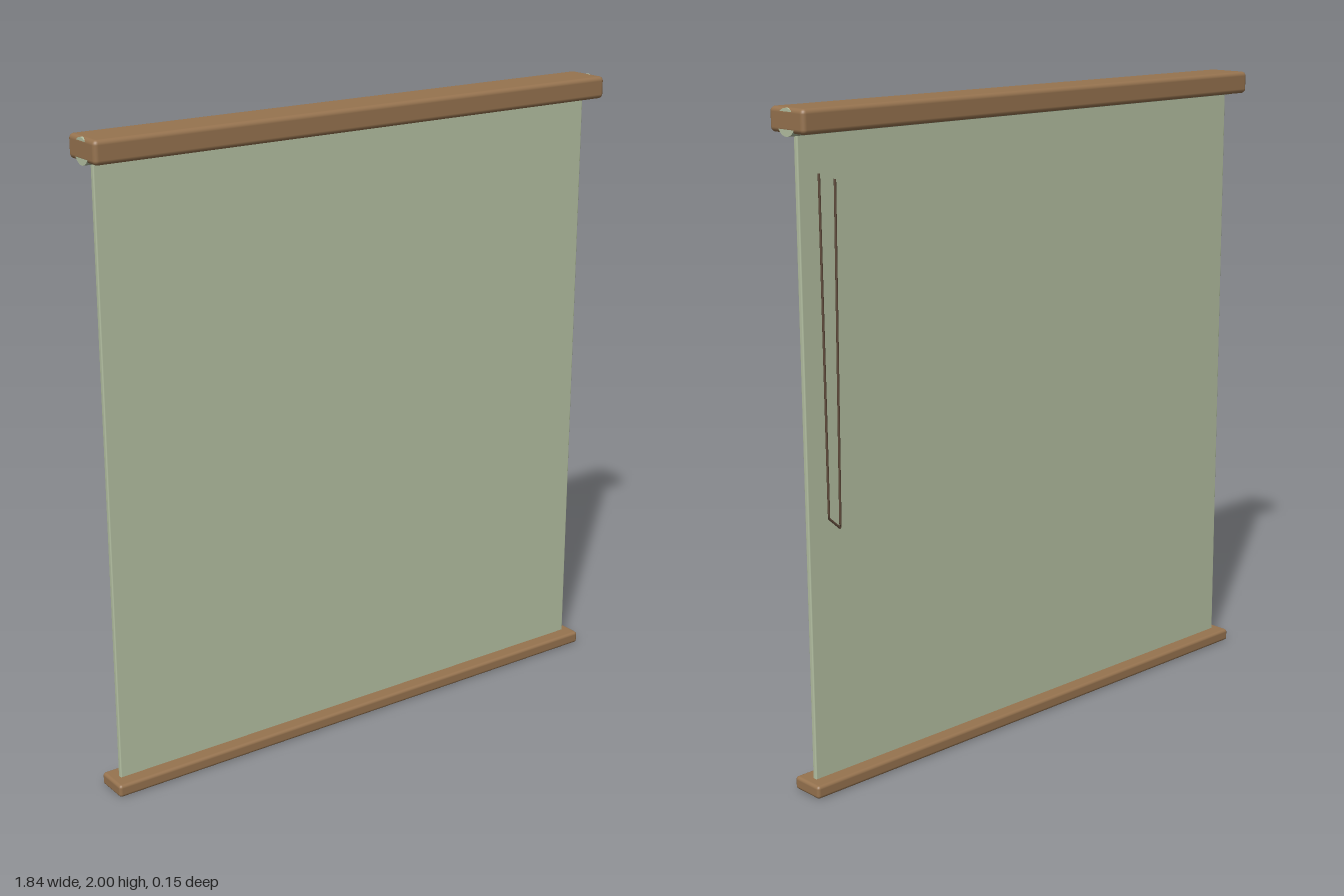
import * as THREE from 'three';
import { RoundedBoxGeometry } from 'three/addons/geometries/RoundedBoxGeometry.js';

export function createModel() {
  const blind = new THREE.Group();
  blind.name = 'rollerBlind';

  const material = (name, color) => {
    const m = new THREE.MeshStandardMaterial({ color });
    m.name = name;
    return m;
  };
  const wood = material('warm wood', 0x96734f);
  const fabric = material('sage fabric', 0xb4c0a2);
  const cordBrown = material('dark cord', 0x5f4a3a);

  const add = (name, geometry, mat, x = 0, y = 0, z = 0) => {
    const mesh = new THREE.Mesh(geometry, mat);
    mesh.name = name;
    mesh.position.set(x, y, z);
    blind.add(mesh);
    return mesh;
  };

  // Wooden rails at the top and bottom
  add('headRail', new RoundedBoxGeometry(1.84, 0.07, 0.15, 3, 0.014), wood, 0, 1.965, 0);
  add('bottomRail', new RoundedBoxGeometry(1.84, 0.04, 0.11, 3, 0.01), wood, 0, 0.02, 0);

  // Rolled fabric, just showing under the head rail and at its ends
  const roll = add('fabricRoll', new THREE.CylinderGeometry(0.039, 0.039, 1.839, 24), fabric, 0, 1.96, 0);
  roll.rotation.z = Math.PI / 2;

  // Hanging fabric panel
  add('fabricPanel', new RoundedBoxGeometry(1.78, 1.91, 0.016, 3, 0.004), fabric, 0, 0.983, 0);

  // Pull cord loop hanging behind the panel
  const points = [
    [0.84, 1.82, -0.035],
    [0.843, 0.84, -0.042],
    [0.803, 0.803, -0.042],
    [0.785, 1.8, -0.035],
  ].map((p) => new THREE.Vector3(...p));
  const path = new THREE.CurvePath();
  for (let i = 0; i < points.length - 1; i++) path.add(new THREE.LineCurve3(points[i], points[i + 1]));
  add('pullCord', new THREE.TubeGeometry(path, 120, 0.0035, 8, false), cordBrown);

  return blind;
}
